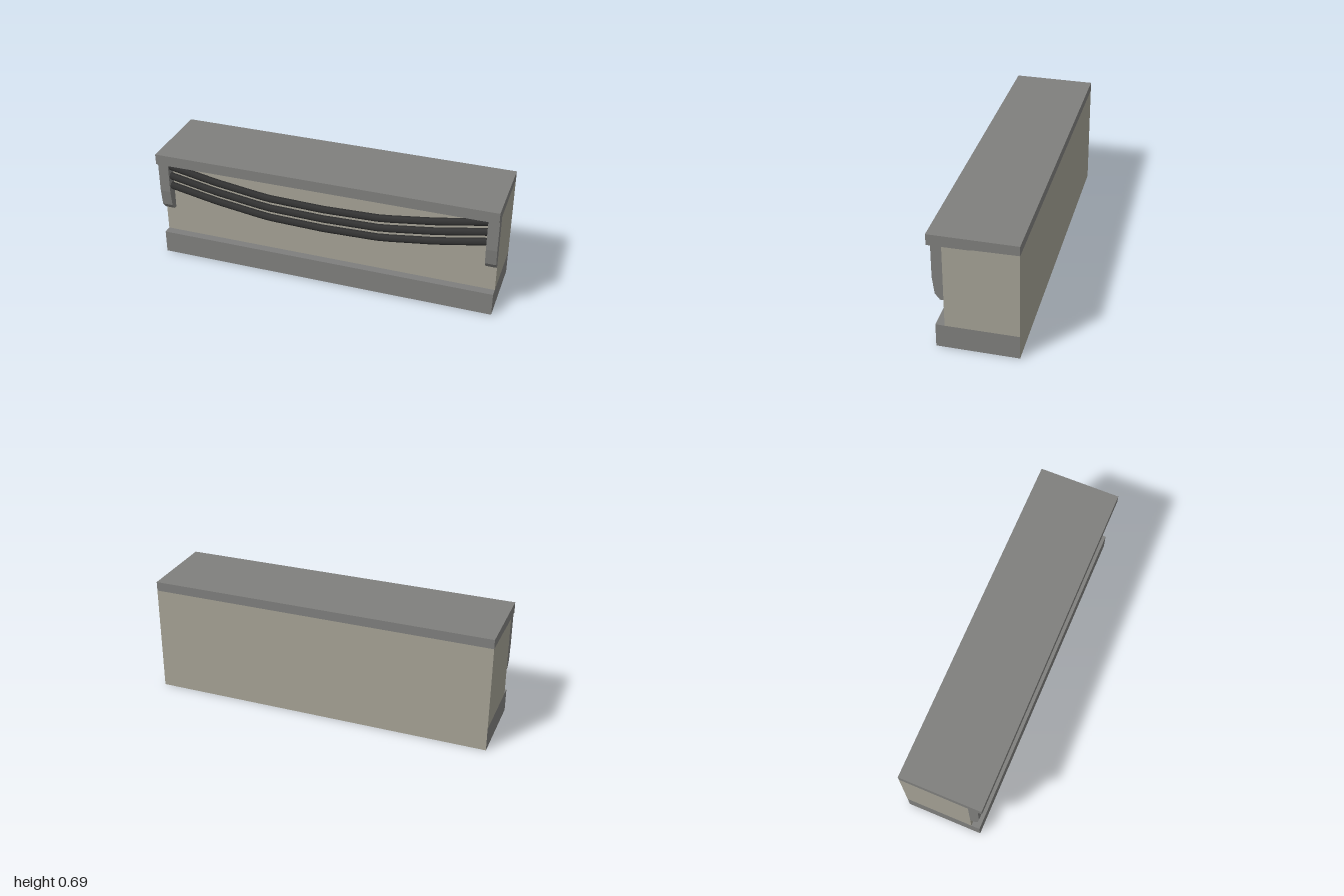
import * as THREE from 'three';

const trimGray = new THREE.MeshStandardMaterial({ color: 0x7f7f7d });
trimGray.name = 'trim gray';
const wallBeige = new THREE.MeshStandardMaterial({ color: 0xa5a295 });
wallBeige.name = 'wall beige';
const cableBlack = new THREE.MeshStandardMaterial({ color: 0x333333 });
cableBlack.name = 'cable black';

// Extrudes a side profile of [z, y] points from x0 to x1; materials are [ends, sides].
function profile(name, points, x0, x1, ends, sides = ends) {
  const shape = new THREE.Shape(points.map(([z, y]) => new THREE.Vector2(z, y)));
  const geometry = new THREE.ExtrudeGeometry(shape, { depth: x1 - x0, bevelEnabled: false });
  geometry.rotateY(-Math.PI / 2).translate(x1, 0, 0);
  const mesh = new THREE.Mesh(geometry, [ends, sides]);
  mesh.name = name;
  return mesh;
}

// Sagging cable between the brackets, with straight segments and a six-sided section.
function cable(name, drop) {
  const path = new THREE.CurvePath();
  const points = [[-0.95, 0.596], [-0.66, 0.539], [-0.34, 0.494], [0, 0.485],
    [0.34, 0.494], [0.66, 0.539], [0.95, 0.596]]
    .map(([x, y]) => new THREE.Vector3(x, y - drop, 0.188));
  for (let i = 1; i < points.length; i++) path.add(new THREE.LineCurve3(points[i - 1], points[i]));
  let geometry = new THREE.TubeGeometry(path, 24, 0.021, 6, false);
  const mesh = new THREE.Mesh(geometry, cableBlack);
  mesh.name = name;
  return mesh;
}

export function createModel() {
  const group = new THREE.Group();
  group.name = 'wallWithCables';

  // Wall, with its lower end faces painted as part of the base
  group.add(profile('wall', [[-0.24, 0.138], [0.16, 0.141], [0.16, 0.626], [-0.24, 0.629]], -1, 1, wallBeige));
  group.add(profile('wallFoot', [[-0.24, 0], [0.16, 0.004], [0.16, 0.141], [-0.24, 0.138]], -1, 1, trimGray, wallBeige));

  // Projecting base and overhanging cap
  group.add(profile('base', [[0.16, 0.004], [0.21, 0.005], [0.21, 0.142], [0.16, 0.141]], -1, 1, trimGray));
  group.add(profile('cap', [[-0.24, 0.629], [0, 0.627], [0.01, 0.624], [0.24, 0.624], [0.24, 0.687], [-0.24, 0.683]], -1, 1, trimGray));

  // Brackets at both ends
  const bracket = [[0.16, 0.303], [0.178, 0.303], [0.205, 0.338], [0.217, 0.435], [0.217, 0.624], [0.16, 0.624]];
  group.add(profile('leftBracket', bracket, 0.938, 1, trimGray));
  group.add(profile('rightBracket', bracket, -1, -0.938, trimGray));

  // Three hanging cables
  ['upperCable', 'middleCable', 'lowerCable'].forEach((name, i) => group.add(cable(name, i * 0.063)));
  return group;
}
